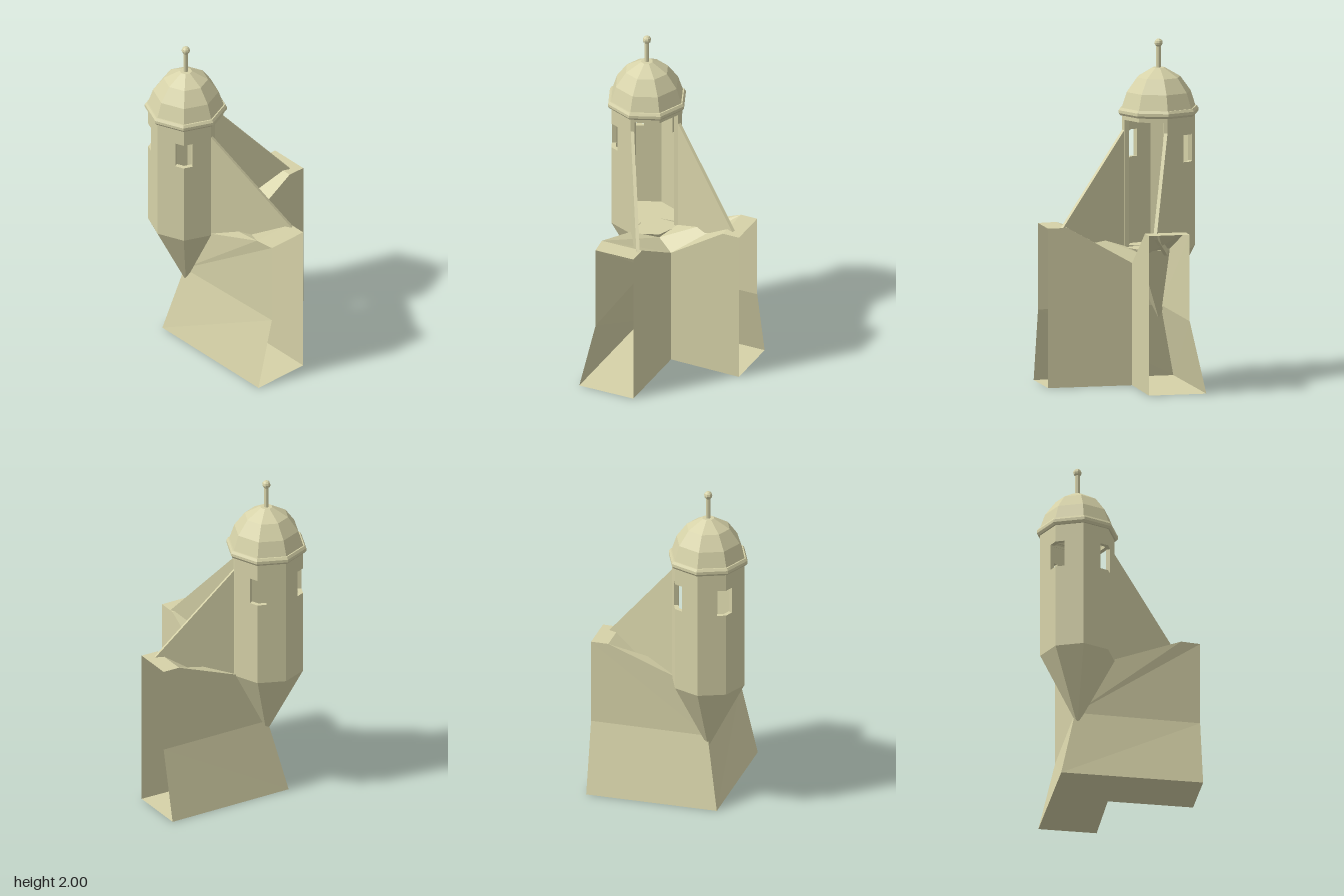
import * as THREE from 'three';

const mat = new THREE.MeshStandardMaterial({ color: 0xd6d2a8, flatShading: true, side: THREE.DoubleSide });
const CX = -0.235, CZ = -0.245; // turret axis

function add(parent, name, geo, x = 0, y = 0, z = 0) {
  const mesh = new THREE.Mesh(geo, mat);
  mesh.name = name;
  mesh.position.set(x, y, z);
  parent.add(mesh);
  return mesh;
}

// Sheet made of flat polygons, each a fan of corner points
function sheet(polygons) {
  const pos = [];
  for (const p of polygons)
    for (let i = 1; i < p.length - 1; i++) pos.push(...p[0], ...p[i], ...p[i + 1]);
  const geo = new THREE.BufferGeometry();
  geo.setAttribute('position', new THREE.Float32BufferAttribute(pos, 3));
  geo.computeVertexNormals();
  return geo;
}

// Point on an octagon (corners on the axes) at an angle in degrees
function octPoint(r, deg) {
  const rad = Math.PI / 180;
  const within = ((deg % 45) + 45) % 45;
  const d = r * Math.cos(22.5 * rad) / Math.cos((within - 22.5) * rad);
  return new THREE.Vector2(d * Math.cos(deg * rad), d * Math.sin(deg * rad));
}

// Piece of the eight-sided turret wall between two angles and two heights
function wallPiece(a0, a1, y0, y1) {
  const angles = [a0];
  for (let a = Math.floor(a0 / 45) * 45 + 45; a < a1; a += 45) angles.push(a);
  angles.push(a1);
  const outer = angles.map(a => octPoint(0.22, a));
  const inner = angles.map(a => octPoint(0.192, a)).reverse();
  const geo = new THREE.ExtrudeGeometry(new THREE.Shape([...outer, ...inner]), { depth: y1 - y0, bevelEnabled: false });
  geo.rotateX(Math.PI / 2); // plan y becomes z
  geo.translate(0, y1, 0);
  return geo;
}

// Thin sloping buttress standing on the wall top
function fin(from, to) {
  const dx = to[0] - from[0], dz = to[1] - from[1], len = Math.hypot(dx, dz);
  const shape = new THREE.Shape([[0, 0.75], [len * 0.9, 0.9], [len, 0.94], [0, 1.47]].map(p => new THREE.Vector2(...p)));
  const geo = new THREE.ExtrudeGeometry(shape, { depth: 0.02, bevelEnabled: false });
  geo.translate(0, 0, -0.01);
  geo.rotateY(-Math.atan2(dz, dx));
  geo.translate(from[0], 0, from[1]);
  return geo;
}

function buildBastion(root) {
  const g = new THREE.Group();
  g.name = 'cornerWall';
  root.add(g);
  const baseCorner = [-0.32, 0, -0.355], breakCorner = [CX, 0.43, -0.258], topCorner = [CX, 0.775, -0.258];
  const innerBase = [0.03, 0, -0.02], innerTop = [0.03, 0.72, -0.02], sill = [-0.08, 0.76, -0.09];

  // Each wing: outer base, outer break, outer top, inner base at the open end; shoulder and foot of the ramp
  const wings = [
    {
      name: 'sideWing', base: [0.475, 0, -0.355], brk: [0.475, 0.43, -0.255], top: [0.475, 0.94, -0.255],
      inBase: [0.475, 0, -0.01], inTop: [0.475, 0.94, -0.01],
      shoulder: [0.37, 0.94, -0.256], foot: [-0.02, 0.79, -0.258], inShoulder: [0.37, 0.94, -0.012]
    },
    {
      name: 'frontWing', base: [-0.32, 0, 0.485], brk: [-0.215, 0.43, 0.485], top: [-0.215, 0.94, 0.485],
      inBase: [0.03, 0, 0.485], inTop: [0.03, 0.94, 0.485],
      shoulder: [-0.23, 0.94, 0.37], foot: [CX, 0.79, -0.03], inShoulder: [0.03, 0.94, 0.37]
    }
  ];
  for (const w of wings) {
    add(g, w.name + 'Batter', sheet([[baseCorner, breakCorner, w.brk, w.base]]));
    add(g, w.name + 'OuterFace', sheet([[breakCorner, topCorner, w.foot, w.shoulder, w.top, w.brk]]));
    add(g, w.name + 'InnerFace', sheet([[innerBase, innerTop, w.inShoulder, w.inTop, w.inBase]]));
    add(g, w.name + 'Top', sheet([
      [w.top, w.shoulder, w.inShoulder, w.inTop],
      [w.shoulder, w.foot, sill, innerTop, w.inShoulder]
    ]));
    add(g, w.name + 'Floor', sheet([[baseCorner, w.base, w.inBase, innerBase]]));
  }
}

function buildTurret(root) {
  const g = new THREE.Group();
  g.name = 'turret';
  g.position.set(CX, 0, CZ);
  root.add(g);

  // Tapered bracket; its top is the turret floor
  add(g, 'corbelCone', new THREE.CylinderGeometry(0.22, 0.004, 0.42, 8), 0, 0.57, 0);

  // Walls, open on the inner diagonal for the door
  add(g, 'lowerWall', wallPiece(84, 366, 0.78, 1.29));
  for (const [a, b] of [[84, 121], [149, 211], [239, 301], [329, 366]])
    add(g, 'windowPier', wallPiece(a, b, 1.29, 1.45));
  add(g, 'upperWall', wallPiece(84, 366, 1.45, 1.53));
  add(g, 'ringBeamBack', wallPiece(90, 360, 1.53, 1.57));
  add(g, 'doorLintel', wallPiece(0, 90, 1.53, 1.57));

  const lathe = (pts, n = 8) => new THREE.LatheGeometry(pts.map(p => new THREE.Vector2(...p)), n);
  add(g, 'cornice', lathe([[0.19, 1.555], [0.23, 1.555], [0.24, 1.568], [0.24, 1.585], [0.23, 1.6], [0.22, 1.6]]));
  add(g, 'dome', lathe([[0.222, 1.6], [0.192, 1.69], [0.13, 1.775], [0.036, 1.83], [0, 1.83]]));
  add(g, 'finialRod', new THREE.CylinderGeometry(0.014, 0.014, 0.14, 8), 0, 1.89, 0);
  add(g, 'finialBall', new THREE.SphereGeometry(0.025, 8, 6), 0, 1.975, 0);
}

export function createModel() {
  const root = new THREE.Group();
  root.name = 'cornerWatchTurret';
  buildBastion(root);
  buildTurret(root);
  add(root, 'sideButtress', fin([-0.02, -0.235], [0.415, -0.063]));
  add(root, 'frontButtress', fin([-0.225, -0.03], [0.02, 0.4]));
  return root;
}
